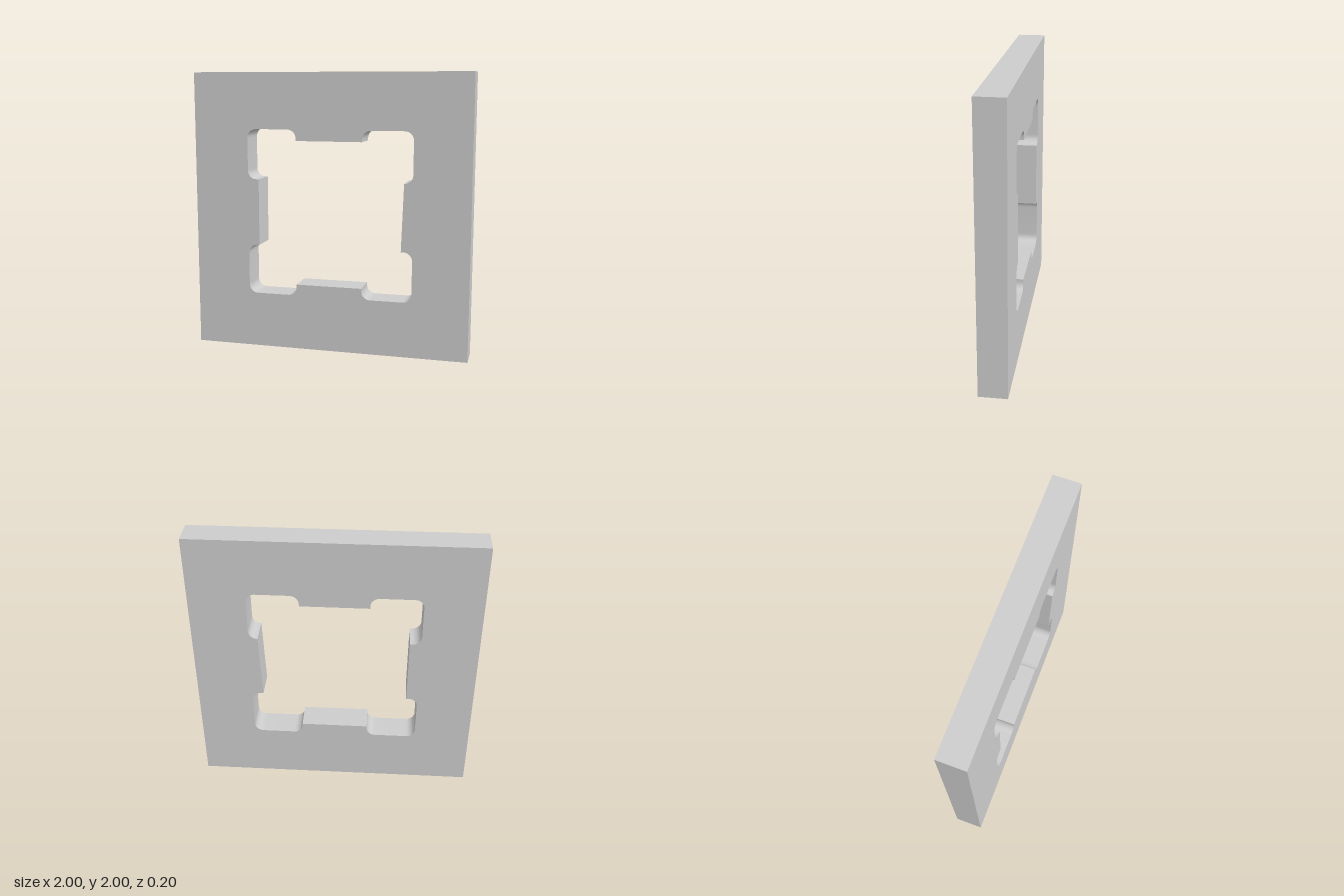
import * as THREE from 'three';
import { toCreasedNormals } from 'three/addons/utils/BufferGeometryUtils.js';

const DEPTH = 0.2;
const LOBE = 0.6;    // half-width of the opening at its corner lobes
const TAB = 0.52;    // distance from centre to the tab edges
const TAB_HALF = 0.24;
const R = 0.063;     // lobe corner radius

// Opening with four rounded corner lobes, separated by straight tabs
function openingPath() {
  const path = new THREE.Path();
  const near = TAB_HALF + R, far = LOBE - R;
  for (let k = 0; k < 4; k++) {
    const turn = k * Math.PI / 2;
    const at = (x, y) => new THREE.Vector2(x, y).rotateAround(new THREE.Vector2(), turn);
    const corner = (x, y, start) => {
      const c = at(x, y);
      path.absarc(c.x, c.y, R, turn + start, turn + start + Math.PI / 2, false);
    };
    const a = at(TAB, TAB_HALF), b = at(TAB_HALF, TAB);
    if (k === 0) path.moveTo(a.x, a.y);
    else path.lineTo(a.x, a.y);
    corner(far, near, -Math.PI / 2);
    corner(far, far, 0);
    corner(near, far, Math.PI / 2);
    path.lineTo(b.x, b.y);
  }
  path.closePath();
  return path;
}

export function createModel() {
  const group = new THREE.Group();
  group.name = 'squareFrame';

  // Square plate
  const plate = new THREE.Shape();
  plate.moveTo(-1, -1);
  plate.lineTo(1, -1);
  plate.lineTo(1, 1);
  plate.lineTo(-1, 1);
  plate.closePath();
  plate.holes.push(openingPath());

  const geometry = new THREE.ExtrudeGeometry(plate, {
    depth: DEPTH, bevelEnabled: false, curveSegments: 8,
  });
  geometry.translate(0, 1, -DEPTH / 2);

  const frame = new THREE.Mesh(
    toCreasedNormals(geometry, 0.6),
    new THREE.MeshStandardMaterial({ color: 0xcccccc })
  );
  frame.name = 'framePlate';
  group.add(frame);
  return group;
}
